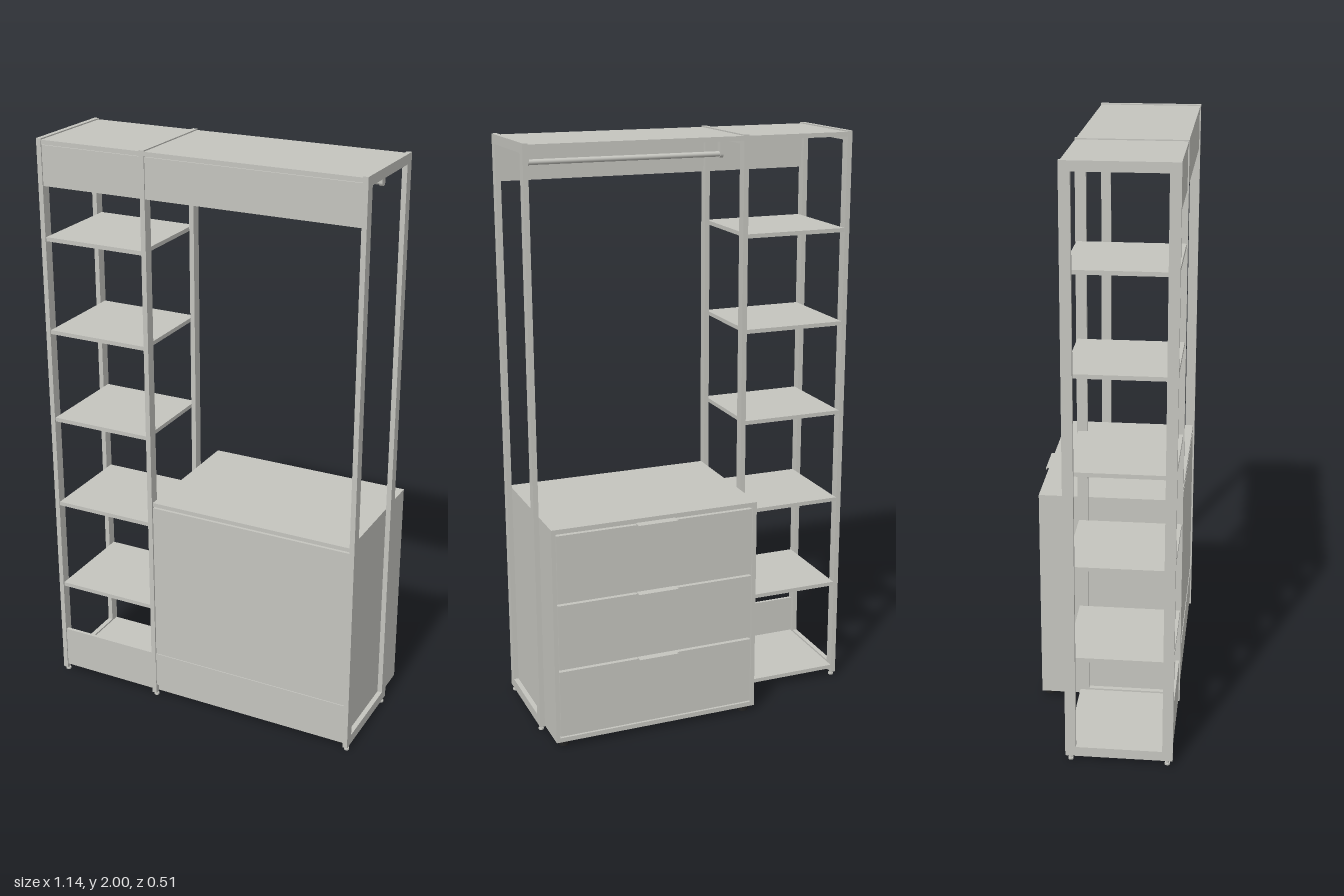
import * as THREE from 'three';

export function createModel() {
  const model = new THREE.Group();
  model.name = 'openWardrobe';
  const grey = new THREE.MeshStandardMaterial({ color: 0xc4c4be });
  grey.name = 'warm grey';
  const black = new THREE.MeshStandardMaterial({ color: 0x222222 });
  black.name = 'black plastic';

  // Box given by its limits on each axis
  function box(name, x0, x1, y0, y1, z0, z1, parent = model) {
    const mesh = new THREE.Mesh(new THREE.BoxGeometry(x1 - x0, y1 - y0, z1 - z0), grey);
    mesh.position.set((x0 + x1) / 2, (y0 + y1) / 2, (z0 + z1) / 2);
    mesh.name = name;
    parent.add(mesh);
    return mesh;
  }
  function foot(name, x, z, r, h, mat, parent) {
    const mesh = new THREE.Mesh(new THREE.CylinderGeometry(r, r, h, 20), mat);
    mesh.position.set(x, h / 2, z);
    mesh.name = name;
    parent.add(mesh);
  }

  // Three upright rectangular frames
  const zB = -0.104, zF = 0.254, post = 0.035, half = 0.0085;
  for (const x of [-0.5635, -0.1845, 0.5625]) {
    const frame = new THREE.Group();
    frame.name = 'uprightFrame';
    const shape = new THREE.Shape();
    shape.moveTo(zB, 0.016).lineTo(zF, 0.016).lineTo(zF, 2).lineTo(zB, 2).closePath();
    const hole = new THREE.Path();
    hole.moveTo(zB + post, 0.05).lineTo(zB + post, 1.968).lineTo(zF - post, 1.968).lineTo(zF - post, 0.05).closePath();
    shape.holes.push(hole);
    const geo = new THREE.ExtrudeGeometry(shape, { depth: half * 2, bevelEnabled: false });
    geo.rotateY(-Math.PI / 2).translate(x + half, 0, 0);
    const mesh = new THREE.Mesh(geo, grey);
    mesh.name = 'frameLoop';
    frame.add(mesh);
    for (const z of [zB + 0.018, zF - 0.018]) {
      foot('frameFootStem', x, z, 0.005, 0.018, grey, frame);
      foot('frameFootPad', x, z, 0.009, 0.006, grey, frame);
    }
    model.add(frame);
  }

  // Bays between the frames: top board, fascia and plinth
  const L0 = -0.555, L1 = -0.193, R0 = -0.176, R1 = 0.554;
  for (const [x0, x1, low] of [[L0, L1, 0.03], [R0, R1, 0.05]]) {
    box('topBoard', x0, x1, 1.981, 1.996, zB + 0.002, zF - 0.002);
    box('topFascia', x0, x1, 1.845, 1.979, 0.238, 0.25);
    box('plinth', x0, x1, low, 0.18, 0.238, 0.25);
  }

  // Open shelves in the narrow bay
  for (const y of [0.03, 0.363, 0.69, 1.015, 1.336, 1.66])
    box('shelf', L0, L1, y, y + 0.014, zB + 0.004, y < 0.1 ? 0.238 : 0.25);

  // Cabinet carcass, with drawers opening to the rear
  const cabinet = new THREE.Group();
  cabinet.name = 'drawerCabinet';
  model.add(cabinet);
  const t = 0.014, cB = -0.24, cF = 0.236;
  box('cabinetTop', R0, R1, 0.769, 0.783, cB, cF + 0.012, cabinet);
  box('cabinetBase', R0, R1, 0.02, 0.036, cB, cF, cabinet);
  box('cabinetSide', R0, R0 + t, 0.036, 0.769, cB, cF, cabinet);
  box('cabinetSide', R1 - t, R1, 0.036, 0.769, cB, cF, cabinet);
  box('cabinetFrontPanel', R0, R1, 0.181, 0.763, cF, cF + 0.012, cabinet);
  box('cabinetInnerPanel', R0 + t, R1 - t, 0.036, 0.769, cF - 0.012, cF, cabinet);
  box('drawerBody', R0 + t, R1 - t, 0.04, 0.765, cB + 0.018, cF - 0.014, cabinet);

  // Three drawer fronts with thin folded pulls
  for (const [y0, y1] of [[0.04, 0.277], [0.285, 0.515], [0.523, 0.76]]) {
    box('drawerFront', R0 + t + 0.003, R1 - t - 0.003, y0, y1, cB + 0.002, cB + 0.018, cabinet);
    box('drawerPull', 0.119, 0.259, y1 + 0.001, y1 + 0.004, -0.257, cB + 0.016, cabinet);
    box('drawerPullLip', 0.119, 0.259, y1 - 0.005, y1 + 0.004, -0.258, -0.255, cabinet);
  }
  for (const x of [-0.143, 0.521])
    for (const z of [-0.215, 0.197])
      foot('cabinetFoot', x, z, 0.018, 0.02, black, cabinet);

  // Hanging rail below the wide top board
  const rail = new THREE.Group();
  rail.name = 'hangingRail';
  model.add(rail);
  const bar = new THREE.Mesh(new THREE.CylinderGeometry(0.009, 0.009, 0.67, 20), grey);
  bar.rotation.z = Math.PI / 2;
  bar.position.set((R0 + R1) / 2, 1.928, 0.02);
  bar.name = 'railBar';
  rail.add(bar);
  for (const x of [R0 + 0.03, R1 - 0.03]) {
    box('railBracket', x - 0.006, x + 0.006, 1.928, 1.981, 0.008, 0.032, rail);
    box('railBracketPlate', x - 0.028, x + 0.028, 1.977, 1.981, 0.006, 0.034, rail);
    const cup = new THREE.Mesh(new THREE.CylinderGeometry(0.012, 0.012, 0.012, 20), grey);
    cup.rotation.z = Math.PI / 2;
    cup.position.set(x, 1.928, 0.02);
    cup.name = 'railBracketCup';
    rail.add(cup);
  }
  return model;
}
